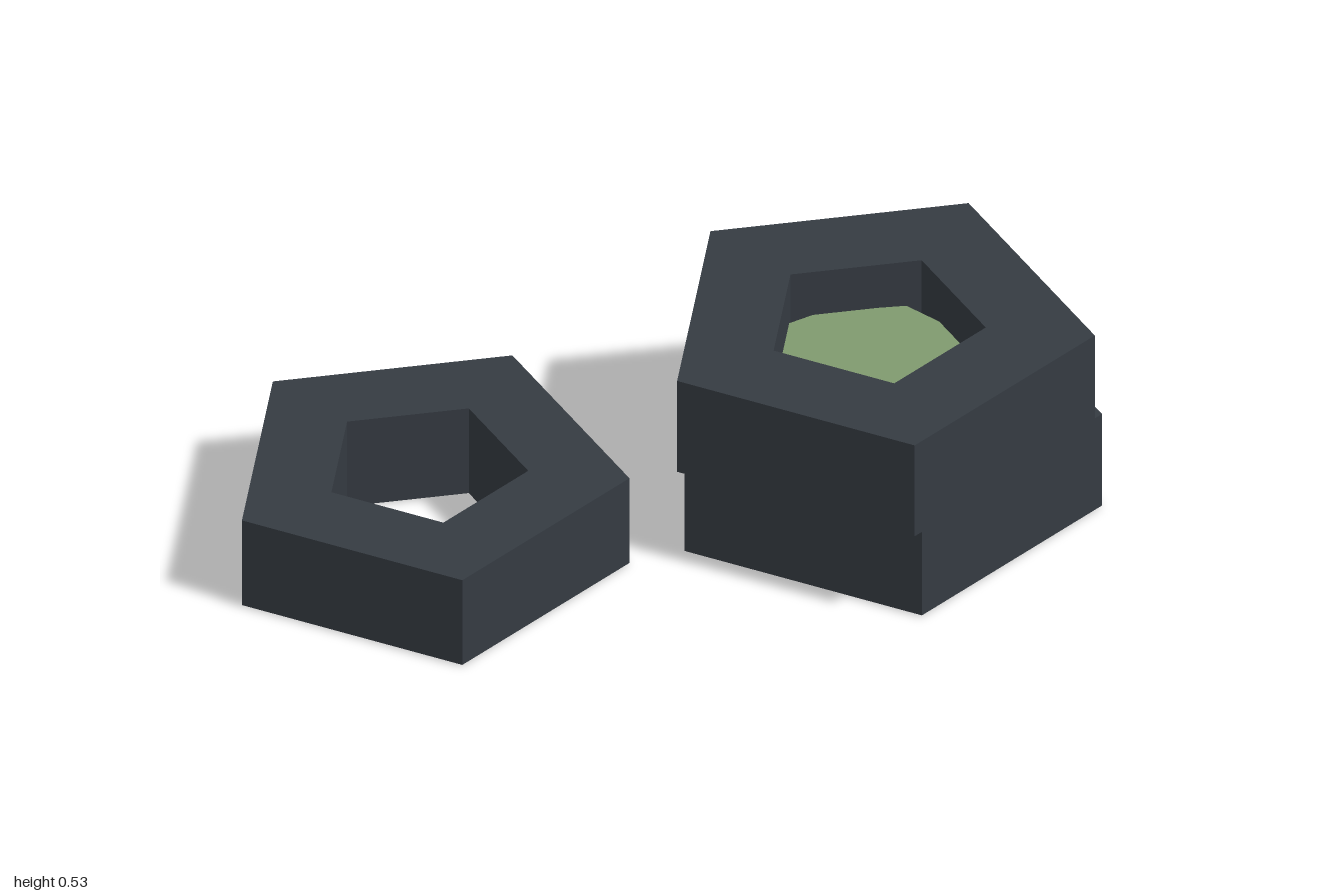
import * as THREE from 'three';

const stone = new THREE.MeshStandardMaterial({ color: 0x353b42 });
stone.name = 'dark slate';
const moss = new THREE.MeshStandardMaterial({ color: 0x809a6f });
moss.name = 'moss green';

// Pentagon with one corner pointing to -x
function pentagon(radius) {
  return Array.from({ length: 5 }, (_, i) => {
    const a = Math.PI + (i * Math.PI * 2) / 5;
    return new THREE.Vector2(Math.cos(a) * radius, Math.sin(a) * radius);
  });
}

// Extrude a plan shape upwards from y = bottom to y = top
function slab(name, shape, material, bottom, top) {
  const geometry = new THREE.ExtrudeGeometry(shape, { depth: top - bottom, bevelEnabled: false });
  geometry.rotateX(-Math.PI / 2);
  const mesh = new THREE.Mesh(geometry, material);
  mesh.name = name;
  mesh.position.y = bottom;
  return mesh;
}

// Five-sided ring with a matching five-sided hole
function ring(name, x, z, radius, bottom, top) {
  const shape = new THREE.Shape(pentagon(radius));
  shape.holes.push(new THREE.Path(pentagon(radius * 0.508)));
  const mesh = slab(name, shape, stone, bottom, top);
  mesh.position.x = x;
  mesh.position.z = z;
  return mesh;
}

export function createModel() {
  const model = new THREE.Group();
  model.name = 'pentagonRings';

  model.add(ring('singleRing', -0.505, -0.195, 0.495, 0.003, 0.25));
  model.add(ring('lowerStackedRing', 0.568, 0.115, 0.5335, 0.003, 0.27));
  model.add(ring('upperStackedRing', 0.528, 0.152, 0.5335, 0.27, 0.535));

  // Irregular plug filling the stacked holes, in plan (x, z)
  const plan = [
    [0.27, 0.13], [0.41, -0.085], [0.52, -0.09], [0.71, -0.015], [0.755, 0.1],
    [0.79, 0.24], [0.61, 0.46], [0.45, 0.395], [0.31, 0.26],
  ];
  const shape = new THREE.Shape(plan.map(([x, z]) => new THREE.Vector2(x, -z)));
  model.add(slab('mossPlug', shape, moss, 0, 0.41));

  return model;
}
